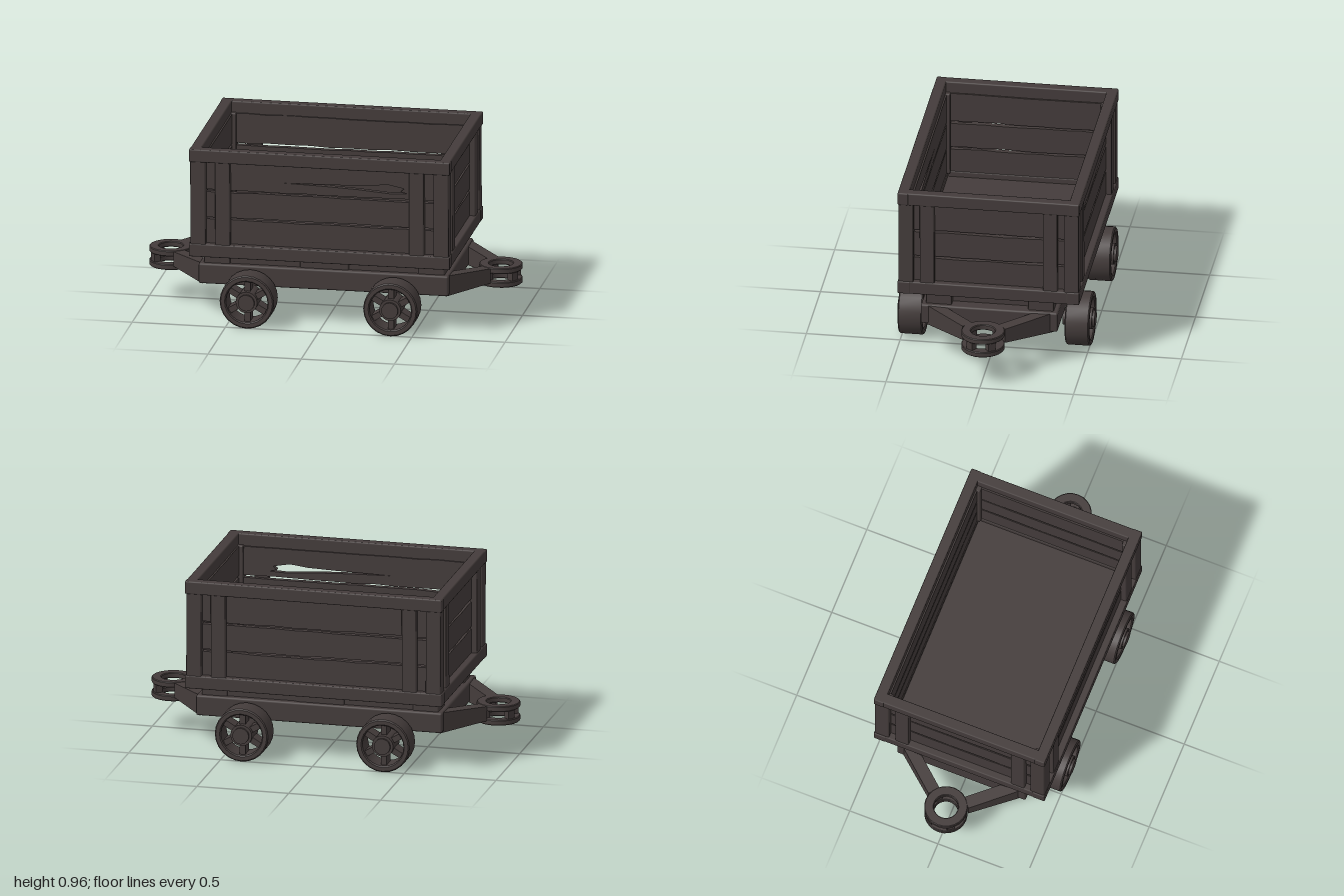
import * as THREE from 'three';
import { toCreasedNormals } from 'three/addons/utils/BufferGeometryUtils.js';
import { RoundedBoxGeometry } from 'three/addons/geometries/RoundedBoxGeometry.js';

const darkWood = new THREE.MeshStandardMaterial({ color: 0x443c3b });
darkWood.name = 'darkWood';

// Small seeded generator for the worn edges, -1 to 1
let seed = 7;
const jitter = () => {
  seed = (seed * 16807) % 2147483647;
  return (seed / 2147483647) * 2 - 1;
};

function add(parent, name, geometry, x = 0, y = 0, z = 0) {
  const mesh = new THREE.Mesh(geometry, darkWood);
  mesh.name = name;
  mesh.position.set(x, y, z);
  parent.add(mesh);
  return mesh;
}

// Chamfered timber given by its limits
function beam(parent, name, x0, x1, y0, y1, z0, z1, r = 0.007) {
  const g = new RoundedBoxGeometry(x1 - x0, y1 - y0, z1 - z0, 1, r);
  return add(parent, name, g, (x0 + x1) / 2, (y0 + y1) / 2, (z0 + z1) / 2);
}

// Plank with ragged long edges and an optional split
function plank(parent, half, y0, y1, z, crack) {
  const s = new THREE.Shape();
  const n = 12;
  s.moveTo(-half, y0);
  for (let i = 1; i < n; i++) s.lineTo(-half + (2 * half * i) / n, y0 + jitter() * 0.003);
  s.lineTo(half, y0);
  s.lineTo(half, y1);
  for (let i = n - 1; i > 0; i--) s.lineTo(-half + (2 * half * i) / n, y1 + jitter() * 0.003);
  s.lineTo(-half, y1);
  if (crack) s.holes.push(new THREE.Path(crack.map(([x, y]) => new THREE.Vector2(x, y))));
  const g = new THREE.ExtrudeGeometry(s, { depth: 0.03, bevelEnabled: false });
  add(parent, 'plank', g, 0, 0, z);
}

// One side of the crate, facing +z before turning
function wall(name, half, railHalf, dist, postIn, postOut, angle, crack) {
  const w = new THREE.Group();
  w.name = name;
  plank(w, half - 0.03, 0.44, 0.577, dist - 0.066);
  plank(w, half - 0.03, 0.589, 0.728, dist - 0.066);
  plank(w, half - 0.03, 0.741, 0.9, dist - 0.066, crack);
  beam(w, 'topRail', -railHalf, railHalf, 0.895, 0.965, dist - 0.058, dist);
  beam(w, 'bottomRail', -railHalf, railHalf, 0.375, 0.446, dist - 0.07, dist);
  for (const s of [-1, 1]) {
    const c = (s * (postIn + postOut)) / 2, hw = (postOut - postIn) / 2;
    const post = beam(w, 'innerPost', c - hw, c + hw, 0.435, 0.905, dist - 0.045, dist - 0.005);
    post.rotation.z = jitter() * 0.006;
  }
  w.rotation.y = angle;
  return w;
}

// Flat ring, extruded along z
function ringGeometry(outer, inner, depth, bevel) {
  const s = new THREE.Shape().absarc(0, 0, outer - bevel, 0, Math.PI * 2);
  s.holes.push(new THREE.Path().absarc(0, 0, inner + bevel, 0, Math.PI * 2, true));
  const g = new THREE.ExtrudeGeometry(s, {
    depth: depth - 2 * bevel, bevelSize: bevel, bevelThickness: bevel, bevelSegments: 1, curveSegments: 12,
  });
  g.translate(0, 0, bevel);
  return toCreasedNormals(g, 0.6);
}

// Spoked wheel with its outside facing +z
function wheel() {
  const w = new THREE.Group();
  w.name = 'wheel';
  add(w, 'rim', ringGeometry(0.145, 0.112, 0.13, 0.006), 0, 0, -0.065);
  const disc = (name, r, z0, z1) => {
    const g = new THREE.CylinderGeometry(r, r, z1 - z0, 20);
    g.rotateX(Math.PI / 2);
    add(w, name, g, 0, 0, (z0 + z1) / 2);
  };
  disc('hub', 0.058, -0.075, 0.067);
  disc('hubCap', 0.044, -0.09, 0.08);
  for (let i = 0; i < 6; i++) {
    const g = new THREE.BoxGeometry(0.075, 0.032, 0.08);
    g.translate(0.083, 0, 0);
    add(w, 'spoke', g).rotation.z = Math.PI / 6 + (i * Math.PI) / 3;
  }
  return w;
}

// Coupling at the +x end: two tapering arms and a double ring
function coupling() {
  const c = new THREE.Group();
  c.name = 'coupling';
  for (const s of [-1, 1]) {
    const a = new THREE.Vector2(0.63, 0.32), b = new THREE.Vector2(0.825, 0.092);
    const length = a.distanceTo(b);
    const g = new THREE.BoxGeometry(length, 1, 0.066);
    const p = g.attributes.position;
    for (let i = 0; i < p.count; i++) p.setY(i, p.getY(i) * (p.getX(i) < 0 ? 0.112 : 0.08));
    g.computeVertexNormals();
    const arm = add(c, 'couplingArm', g, (a.x + b.x) / 2, 0.243, (s * (a.y + b.y)) / 2);
    arm.rotation.y = s * Math.atan2(a.y - b.y, b.x - a.x);
  }
  for (const y of [0.18, 0.255]) {
    const ring = add(c, 'couplingRing', ringGeometry(0.115, 0.064, 0.03, 0.004), 0.885, y, 0);
    ring.rotation.x = -Math.PI / 2;
  }
  for (const deg of [-130, -35, 35, 130]) {
    const t = (deg * Math.PI) / 180;
    const g = new THREE.BoxGeometry(0.036, 0.06, 0.04);
    add(c, 'ringSpacer', g, 0.885 + 0.088 * Math.cos(t), 0.232, 0.088 * Math.sin(t)).rotation.y = -t;
  }
  return c;
}

export function createModel() {
  seed = 7;
  const model = new THREE.Group();
  model.name = 'woodenCart';

  // Crate: four slatted walls, corner posts and floor
  const split = [[-0.2, 0.796], [0.02, 0.79], [0.2, 0.782], [0.38, 0.768], [0.47, 0.772],
    [0.43, 0.782], [0.45, 0.8], [0.36, 0.818], [0.26, 0.806], [0.1, 0.801]];
  model.add(
    wall('frontWall', 0.69, 0.7, 0.485, 0.48, 0.56, 0, split),
    wall('backWall', 0.69, 0.7, 0.485, 0.48, 0.56, Math.PI),
    wall('leftWall', 0.48, 0.485, 0.698, 0.29, 0.367, Math.PI / 2),
    wall('rightWall', 0.48, 0.485, 0.698, 0.29, 0.367, -Math.PI / 2),
  );
  for (const x of [-1, 1]) for (const z of [-1, 1]) {
    const post = beam(model, 'cornerPost', -0.041, 0.041, 0.435, 0.905, -0.04, 0.04);
    post.position.x = x * 0.652;
    post.position.z = z * 0.441;
    post.rotation.z = jitter() * 0.004;
  }
  beam(model, 'crateFloor', -0.65, 0.65, 0.38, 0.415, -0.44, 0.44);

  // Bearers between crate and chassis
  beam(model, 'bearerCore', -0.6, 0.6, 0.29, 0.385, -0.33, 0.33);
  for (const z of [-1, 1]) {
    for (const x of [-1, 1]) {
      const block = beam(model, 'cornerBearer', -0.07, 0.07, 0.29, 0.385, -0.068, 0.068);
      block.position.x = x * 0.575;
      block.position.z = z * 0.272;
    }
    const mid = beam(model, 'middleBearer', -0.13, 0.13, 0.29, 0.385, -0.068, 0.068);
    mid.position.z = z * 0.272;
  }

  // Chassis slab
  beam(model, 'chassis', -0.67, 0.67, 0.193, 0.303, -0.365, 0.365, 0.01);

  // Couplings at both ends
  const rear = coupling();
  rear.rotation.y = Math.PI;
  model.add(coupling(), rear);

  // Four wheels
  for (const x of [-0.385, 0.385]) for (const s of [-1, 1]) {
    const w = wheel();
    w.position.set(x, 0.146, s * 0.445);
    if (s < 0) w.rotation.y = Math.PI;
    model.add(w);
  }
  return model;
}
